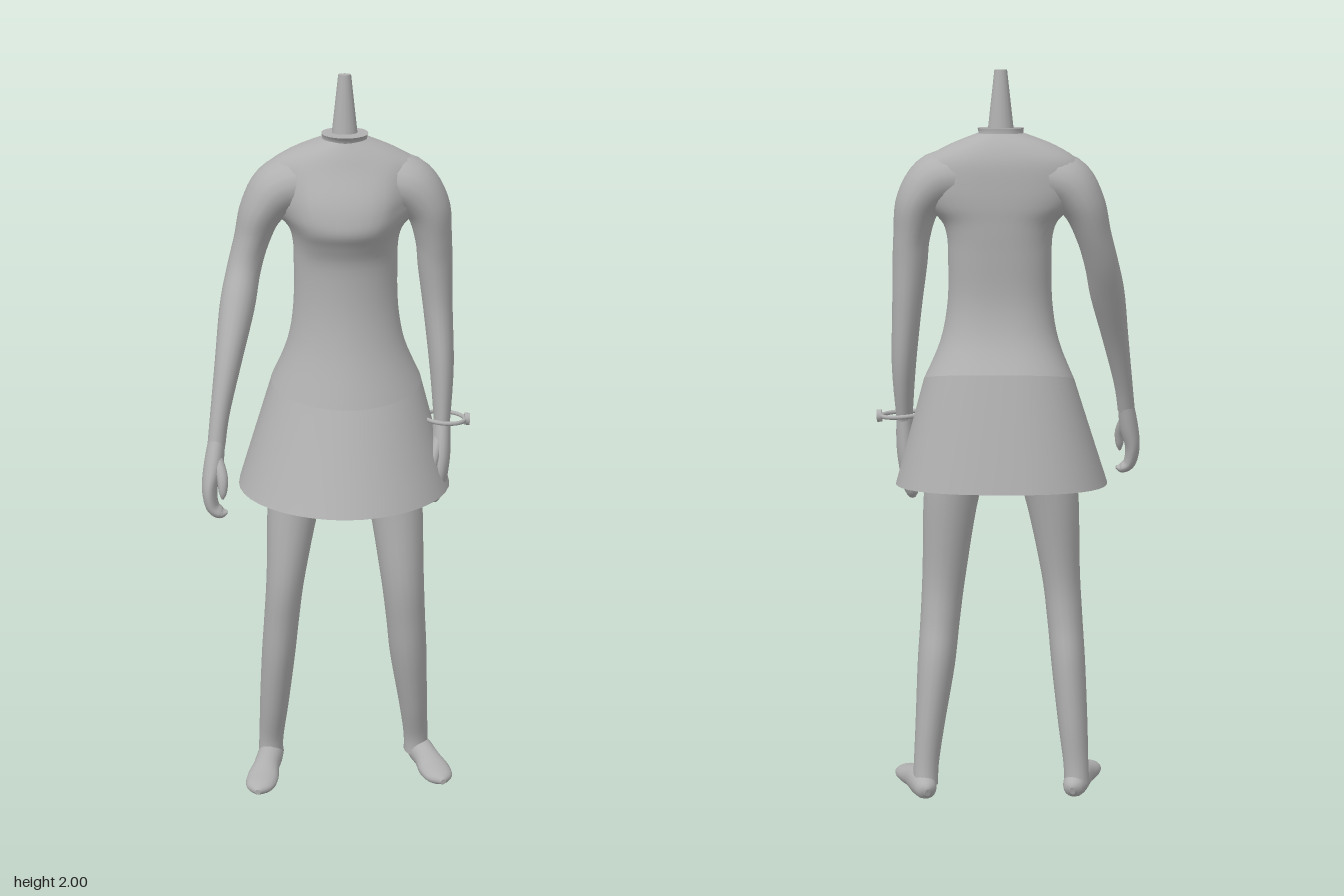
import * as THREE from 'three';

const grey = new THREE.MeshStandardMaterial({ color: 0xb0b0b0, side: THREE.DoubleSide });
grey.name = 'plain grey';

// Catmull-Rom resampling of rows of numbers
function smoothRows(rows, steps) {
  const out = [];
  const at = (i) => rows[Math.max(0, Math.min(rows.length - 1, i))];
  for (let i = 0; i < rows.length - 1; i++) {
    for (let s = 0; s < steps; s++) {
      const t = s / steps;
      out.push(rows[i].map((b, k) => {
        const a = at(i - 1)[k], c = at(i + 1)[k], d = at(i + 2)[k];
        return b + 0.5 * t * (c - a + t * (2 * a - 5 * b + 4 * c - d + t * (3 * (b - c) + d - a)));
      }));
    }
  }
  out.push(rows[rows.length - 1]);
  return out;
}

// Skin over rings of points, with optional end caps
function skin(rings, capStart, capEnd) {
  const n = rings[0].length, pos = [], idx = [];
  rings.forEach((r) => r.forEach((p) => pos.push(p.x, p.y, p.z)));
  for (let i = 0; i < rings.length - 1; i++) {
    for (let j = 0; j < n; j++) {
      const k = (j + 1) % n, a = i * n, b = a + n;
      idx.push(a + j, a + k, b + k, a + j, b + k, b + j);
    }
  }
  const cap = (ring, start) => {
    const c = new THREE.Vector3();
    ring.forEach((p) => c.addScaledVector(p, 1 / n));
    const first = pos.length / 3;
    ring.forEach((p) => pos.push(p.x, p.y, p.z));
    pos.push(c.x, c.y, c.z);
    for (let j = 0; j < n; j++) {
      const k = (j + 1) % n;
      if (start) idx.push(first + n, first + k, first + j);
      else idx.push(first + n, first + j, first + k);
    }
  };
  if (capStart) cap(rings[0], true);
  if (capEnd) cap(rings[rings.length - 1], false);
  const g = new THREE.BufferGeometry();
  g.setAttribute('position', new THREE.Float32BufferAttribute(pos, 3));
  g.setIndex(idx);
  g.computeVertexNormals();
  return g;
}

// Limb: rows are [x, y, z, half width, half depth], depth measured along ref
function limb(rows, ref = new THREE.Vector3(0, 0, 1), n = 18) {
  const s = smoothRows(rows, 5);
  const centre = s.map((r) => new THREE.Vector3(r[0], r[1], r[2]));
  const rings = s.map((r, i) => {
    const t = centre[Math.min(i + 1, s.length - 1)].clone().sub(centre[Math.max(i - 1, 0)]).normalize();
    const B = ref.clone().addScaledVector(t, -ref.dot(t)).normalize();
    const A = B.clone().cross(t);
    return Array.from({ length: n }, (_, j) => {
      const a = (j / n) * Math.PI * 2;
      const p = centre[i].clone().addScaledVector(A, r[3] * Math.cos(a)).addScaledVector(B, r[4] * Math.sin(a));
      p.y = Math.max(0, p.y); // flat soles
      return p;
    });
  });
  return skin(rings, true, true);
}

// Body: rows run downward as [y, xMin, xMax, zBack, zFront, bust depth, tilt]
function body(rows, steps, capTop, n = 40) {
  const rings = smoothRows(rows, steps).map(([y, x0, x1, z0, z1, bust, tilt]) =>
    Array.from({ length: n }, (_, j) => {
      const a = (j / n) * Math.PI * 2, c = Math.cos(a), s = Math.sin(a);
      const e = s < 0 ? 0.8 : 1.04; // squarer back than front
      const pw = (v) => Math.sign(v) * Math.abs(v) ** e;
      const x = (x0 + x1) / 2 + ((x1 - x0) / 2) * pw(c);
      let z = (z0 + z1) / 2 + ((z1 - z0) / 2) * pw(s);
      if (s > 0) z += bust * Math.max(0, 1 - (Math.abs(x - 0.022) / 0.155) ** 5) * Math.min(1, s * 1.5);
      return new THREE.Vector3(x, y - tilt * z, z);
    }));
  return skin(rings, capTop, false);
}

export function createModel() {
  const model = new THREE.Group();
  const add = (name, geometry) => {
    const m = new THREE.Mesh(geometry, grey);
    m.name = name;
    model.add(m);
    return m;
  };

  // Neck peg and collar
  const peg = add('neckPeg', new THREE.CylinderGeometry(0.017, 0.036, 0.17, 16));
  peg.position.set(0.022, 1.915, -0.037);
  add('collar', body([
    [1.846, -0.04, 0.085, -0.105, 0.052, 0, 0],
    [1.832, -0.038, 0.082, -0.104, 0.04, 0, 0],
    [1.815, -0.046, 0.09, -0.107, 0.038, 0, 0],
  ], 2, true, 24));

  // Dress top
  const waist = [1.16, -0.178, 0.232, -0.2, 0.15, 0, 0.2];
  add('dressTop', body([
    [1.832, -0.042, 0.086, -0.105, 0.038, 0, 0],
    [1.8, -0.125, 0.165, -0.13, 0.055, 0.003, 0],
    [1.755, -0.19, 0.235, -0.148, 0.068, 0.012, 0],
    [1.69, -0.2, 0.25, -0.153, 0.078, 0.038, 0],
    [1.64, -0.175, 0.225, -0.153, 0.078, 0.055, 0],
    [1.60, -0.133, 0.183, -0.15, 0.076, 0.06, 0],
    [1.56, -0.118, 0.168, -0.147, 0.076, 0.038, 0],
    [1.50, -0.115, 0.165, -0.142, 0.08, 0.012, 0],
    [1.38, -0.117, 0.167, -0.136, 0.09, 0, 0.02],
    [1.27, -0.135, 0.187, -0.155, 0.11, 0, 0.1],
    waist,
  ], 4, true));

  // Skirt, open at the hem
  add('skirt', body([waist, [0.876, -0.27, 0.312, -0.274, 0.272, 0, 0.05]], 4, false));

  // Hips hidden under the skirt
  const hips = add('hips', new THREE.SphereGeometry(1, 24, 16));
  hips.scale.set(0.155, 0.14, 0.1);
  hips.position.set(0.022, 1.1, -0.01);

  // Arms
  add('rightArm', limb([
    [-0.07, 1.715, -0.038, 0.075, 0.1],
    [-0.15, 1.7, -0.036, 0.075, 0.105],
    [-0.2, 1.64, -0.034, 0.06, 0.098],
    [-0.228, 1.56, -0.026, 0.048, 0.077],
    [-0.25, 1.48, -0.004, 0.046, 0.062],
    [-0.268, 1.39, 0.044, 0.047, 0.058],
    [-0.292, 1.26, 0.112, 0.036, 0.05],
    [-0.315, 1.13, 0.162, 0.026, 0.038],
    [-0.325, 1.05, 0.187, 0.024, 0.032],
  ]));
  add('leftArm', limb([
    [0.11, 1.715, -0.042, 0.075, 0.1],
    [0.19, 1.705, -0.042, 0.077, 0.105],
    [0.244, 1.645, -0.042, 0.062, 0.098],
    [0.262, 1.56, -0.042, 0.05, 0.08],
    [0.268, 1.48, -0.043, 0.047, 0.068],
    [0.277, 1.36, -0.04, 0.04, 0.06],
    [0.288, 1.2, -0.02, 0.033, 0.058],
    [0.289, 1.05, 0.006, 0.022, 0.038],
  ]));

  // Hands with thumbs
  add('rightHand', limb([
    [-0.323, 1.07, 0.18, 0.022, 0.031],
    [-0.333, 1.0, 0.203, 0.026, 0.042],
    [-0.344, 0.94, 0.22, 0.021, 0.046],
    [-0.337, 0.892, 0.229, 0.018, 0.038],
    [-0.315, 0.874, 0.232, 0.014, 0.03],
    [-0.298, 0.876, 0.232, 0.004, 0.01],
  ]));
  add('rightThumb', limb([
    [-0.326, 1.03, 0.205, 0.014, 0.016], [-0.31, 0.98, 0.242, 0.015, 0.016],
    [-0.308, 0.94, 0.255, 0.011, 0.012], [-0.309, 0.92, 0.257, 0.003, 0.003],
  ], undefined, 10));
  add('leftHand', limb([
    [0.289, 1.07, 0.003, 0.022, 0.036],
    [0.285, 0.98, 0.018, 0.028, 0.052],
    [0.281, 0.92, 0.024, 0.026, 0.055],
    [0.276, 0.87, 0.022, 0.022, 0.044],
    [0.268, 0.837, 0.018, 0.015, 0.028],
    [0.263, 0.828, 0.016, 0.004, 0.008],
  ]));
  add('leftThumb', limb([
    [0.28, 1.02, 0.03, 0.015, 0.018], [0.266, 0.97, 0.062, 0.014, 0.016],
    [0.258, 0.925, 0.068, 0.011, 0.012], [0.256, 0.905, 0.068, 0.003, 0.003],
  ], undefined, 10));

  // Bracelet with a bead, tipped slightly outward
  const bracelet = new THREE.Group();
  bracelet.name = 'bracelet';
  bracelet.position.set(0.296, 1.062, 0.003);
  bracelet.rotation.z = -0.07;
  const ring = add('braceletRing', new THREE.TorusGeometry(0.056, 0.006, 8, 32));
  ring.rotation.x = Math.PI / 2;
  const bead = add('braceletBead', new THREE.CylinderGeometry(0.017, 0.017, 0.014, 12));
  bead.rotation.z = Math.PI / 2;
  bead.position.x = 0.062;
  bracelet.add(ring, bead);
  model.add(bracelet);

  // Legs
  add('rightLeg', limb([
    [-0.045, 1.12, -0.005, 0.08, 0.09],
    [-0.078, 0.98, -0.002, 0.086, 0.088],
    [-0.115, 0.85, 0.006, 0.075, 0.08],
    [-0.142, 0.62, 0.028, 0.054, 0.073],
    [-0.155, 0.48, 0.018, 0.049, 0.068],
    [-0.165, 0.36, -0.002, 0.047, 0.07],
    [-0.178, 0.2, -0.028, 0.041, 0.056],
    [-0.187, 0.09, -0.045, 0.035, 0.04],
    [-0.19, 0.03, -0.05, 0.035, 0.042],
  ]));
  add('leftLeg', limb([
    [0.09, 1.12, -0.01, 0.08, 0.09],
    [0.122, 0.98, -0.006, 0.087, 0.088],
    [0.159, 0.85, 0.0, 0.077, 0.08],
    [0.182, 0.62, 0.02, 0.061, 0.075],
    [0.194, 0.48, 0.009, 0.055, 0.073],
    [0.204, 0.36, -0.014, 0.052, 0.076],
    [0.22, 0.2, -0.042, 0.041, 0.06],
    [0.23, 0.09, -0.063, 0.035, 0.043],
    [0.232, 0.03, -0.07, 0.035, 0.045],
  ]));

  // Feet, heel to toe, turned slightly outward: [along, height, half width, half height]
  const profile = [
    [0, 0.022, 0.008, 0.012], [0.06, 0.026, 0.028, 0.028], [0.25, 0.03, 0.036, 0.038],
    [0.5, 0.027, 0.037, 0.034], [0.72, 0.02, 0.045, 0.026], [0.9, 0.016, 0.037, 0.019], [1, 0.014, 0.008, 0.008],
  ];
  const foot = (name, heel, toe) => add(name, limb(profile.map(([t, y, w, h]) => [
    THREE.MathUtils.lerp(heel[0], toe[0], t), y, THREE.MathUtils.lerp(heel[1], toe[1], t), w, h,
  ]), new THREE.Vector3(0, 1, 0)));
  foot('rightFoot', [-0.178, -0.105], [-0.226, 0.174]);
  foot('leftFoot', [0.222, -0.132], [0.3, 0.122]);

  return model;
}
